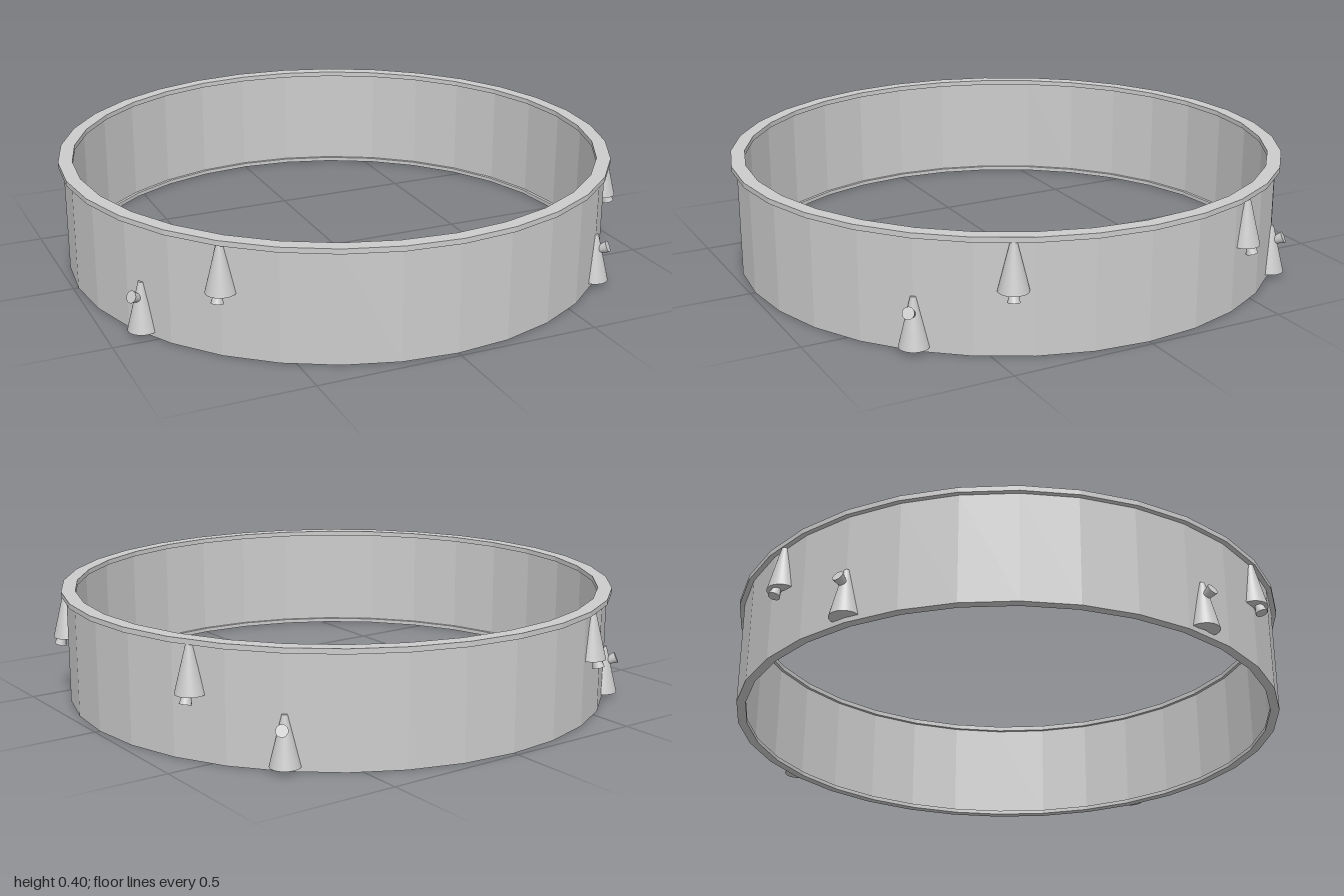
import * as THREE from 'three';

const deg = THREE.MathUtils.degToRad;

export function createModel() {
  const model = new THREE.Group();
  model.name = 'studdedRing';
  const flat = new THREE.MeshStandardMaterial({ color: 0xcccccc, flatShading: true });
  const smooth = new THREE.MeshStandardMaterial({ color: 0xcccccc, side: THREE.DoubleSide });

  // Closed band section [radius, height]: outer wall, top rim, inner wall, bottom ledge
  const section = [
    [0.95, 0], [0.982, 0], [0.982, 0.385], [1, 0.385], [1, 0.403],
    [0.95, 0.403], [0.95, 0.385], [0.962, 0.385], [0.962, 0.015], [0.95, 0.015], [0.95, 0],
  ].map(([r, y]) => new THREE.Vector2(r, y));
  const band = new THREE.Mesh(new THREE.LatheGeometry(section, 32), flat);
  band.name = 'band';
  model.add(band);

  // Cone body, open towards the wall so that it does not break through inside
  const coneGeometry = new THREE.CylinderGeometry(0.009, 0.051, 0.17, 20, 1, false, deg(-100), deg(200));
  // Small flared peg, starting at its narrow end
  const pegGeometry = new THREE.CylinderGeometry(0.021, 0.012, 0.04, 14).translate(0, 0.02, 0);

  function addStud(angle, raised) {
    const stud = new THREE.Group();
    stud.name = raised ? 'upperStud' : 'lowerStud';
    stud.rotation.y = deg(angle);

    const cone = new THREE.Mesh(coneGeometry, smooth);
    cone.name = 'cone';
    cone.position.set(0, raised ? 0.308 : 0.102, 0.982);

    const peg = new THREE.Mesh(pegGeometry, smooth);
    peg.name = 'peg';
    // Upper pegs hang below the cone, lower pegs stick out of its front
    peg.position.set(0, raised ? 0.233 : 0.13, raised ? 1.0 : 0.99);
    peg.rotation.x = deg(raised ? 165 : 65);

    stud.add(cone, peg);
    model.add(stud);
  }

  // Angles are measured from the front towards +x
  [45, 135, 225, 296.5].forEach((a) => addStud(a, false));
  [63.5, 116.5, 206.5, 315].forEach((a) => addStud(a, true));

  return model;
}
